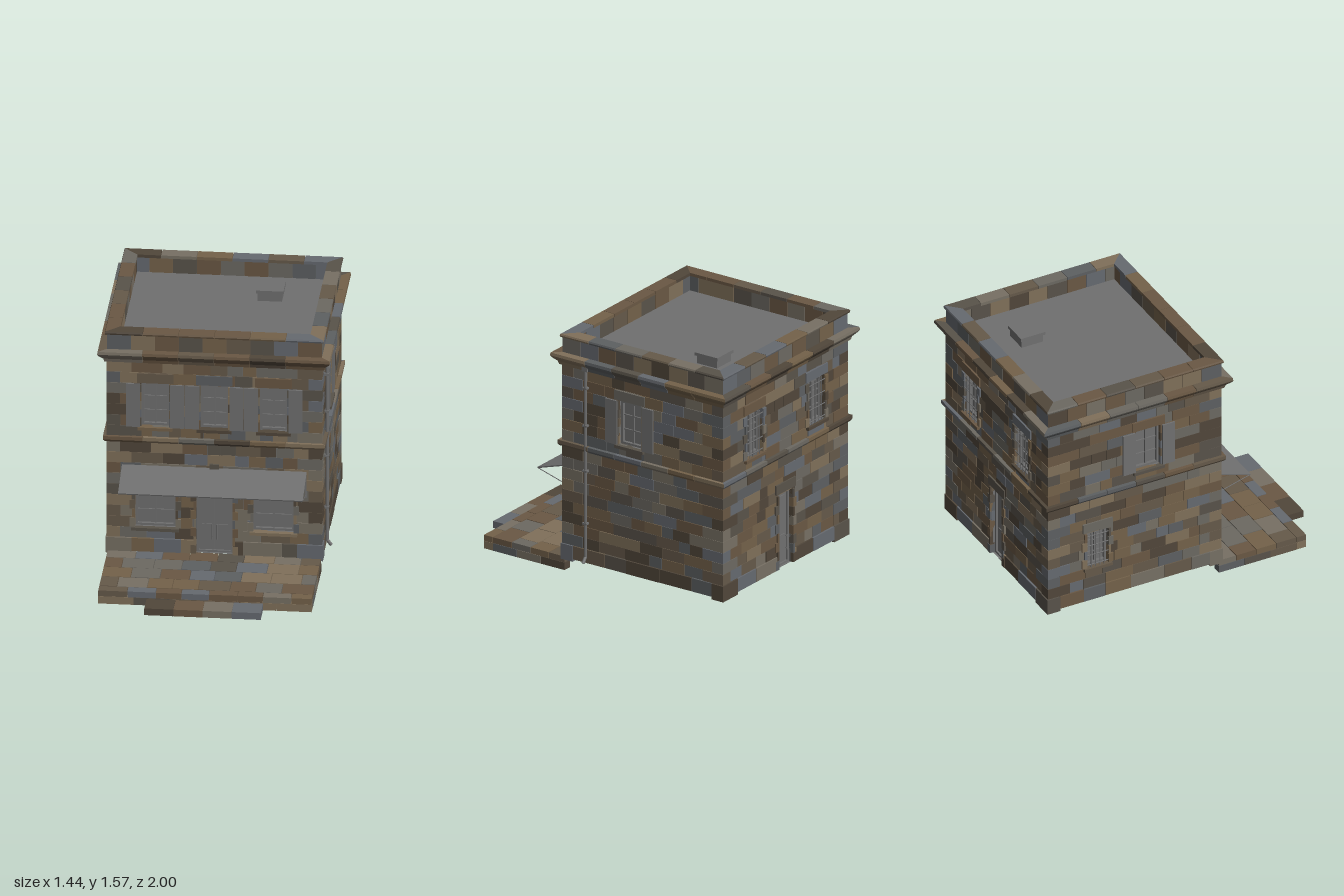
import * as THREE from 'three';
import { mergeGeometries } from 'three/addons/utils/BufferGeometryUtils.js';

const HX = 0.662, HZ = 0.602, CZ = -0.34;     // wall half sizes and centre
const BASE = 0.09, EAVES = 1.37;

const grey = new THREE.MeshStandardMaterial({ color: 0x707070, side: THREE.DoubleSide });
const stoneMats = [0x59534a, 0x665a4a, 0x74624a, 0x777064, 0x5d6062, 0x666a70, 0x51473b, 0x80705a, 0x6a5844, 0x6c6962]
  .map(color => new THREE.MeshStandardMaterial({ color }));

let seed = 7;
const rnd = () => (seed = (seed * 16807) % 2147483647) / 2147483647;

// Box given by its limits
function box(x0, x1, y0, y1, z0, z1) {
  return new THREE.BoxGeometry(x1 - x0, y1 - y0, z1 - z0)
    .translate((x0 + x1) / 2, (y0 + y1) / 2, (z0 + z1) / 2).toNonIndexed();
}

// Thin round bar between two points
function bar(a, b, r, sides = 6) {
  const A = new THREE.Vector3(...a), B = new THREE.Vector3(...b), d = B.clone().sub(A);
  const q = new THREE.Quaternion().setFromUnitVectors(new THREE.Vector3(0, 1, 0), d.clone().normalize());
  const g = new THREE.CylinderGeometry(r, r, d.length(), sides).applyQuaternion(q);
  return g.translate(...A.add(B).multiplyScalar(0.5).toArray()).toNonIndexed();
}

function addMesh(parent, name, geos, mat = grey) {
  const m = new THREE.Mesh(mergeGeometries([].concat(geos)), mat);
  m.name = name;
  parent.add(m);
  return m;
}

// Collects stones by colour, then makes one mesh per colour
function stonePile() {
  const piles = stoneMats.map(() => []);
  return {
    add: g => piles[Math.floor(rnd() * piles.length)].push(g),
    build: (parent, name) => piles.forEach((p, i) => p.length && addMesh(parent, name, p, stoneMats[i])),
  };
}

// Rectangle [x0, x1, y0, y1] minus a hole, as up to four rectangles
function cut([a, b, c, d], [e, f, g, h]) {
  if (e >= b || f <= a || g >= d || h <= c) return [[a, b, c, d]];
  const l = Math.max(a, e), r = Math.min(b, f);
  return [[a, l, c, d], [r, b, c, d], [l, r, c, g], [l, r, h, d]]
    .filter(q => q[1] - q[0] > 0.006 && q[3] - q[2] > 0.006);
}

// Stone courses: plinth, ground floor, upper floor
const courses = [{ y0: BASE, y1: 0.18, proud: 0.008, min: 0.14 }];
for (const [lo, hi, n] of [[0.18, 0.83, 9], [0.865, EAVES, 7]])
  for (let i = 0; i < n; i++)
    courses.push({ y0: lo + (hi - lo) * i / n, y1: lo + (hi - lo) * (i + 1) / n, proud: 0, min: 0.08 });
const quoinLength = (row, alongFront) => ((row % 2 === 0) === alongFront ? 0.15 : 0.08);

// Moulding along one wall: profile of [offset, y], split into mitred stones
function moulding(pile, half, profile, n) {
  const shape = new THREE.Shape(profile.map(p => new THREE.Vector2(...p)));
  for (let i = 0; i < n; i++) {
    const u0 = -half + 2 * half * i / n + (i ? 0.0015 : 0);
    const u1 = -half + 2 * half * (i + 1) / n - (i < n - 1 ? 0.0015 : 0);
    const g = new THREE.ExtrudeGeometry(shape, { depth: u1 - u0, bevelEnabled: false })
      .rotateY(-Math.PI / 2).translate(u1, 0, 0);
    const p = g.attributes.position;
    for (let k = 0; k < p.count; k++) {
      const x = p.getX(k);
      if (Math.abs(Math.abs(x) - half) < 1e-4) p.setX(k, Math.sign(x) * (half + p.getZ(k)));
    }
    g.computeVertexNormals();
    pile.add(g);
  }
}

// Window or door in its opening: frame, glazing, shutters, grille, stone trim
function fitting(wall, pile, o) {
  const g = new THREE.Group();
  g.name = o.door ? 'door' : 'window';
  wall.add(g);
  const [x0, x1] = [o.u - o.w / 2, o.u + o.w / 2], { y0, y1 } = o, f = 0.014;
  addMesh(g, 'frame', [
    box(x0, x0 + f, y0, y1, -0.055, -0.025), box(x1 - f, x1, y0, y1, -0.055, -0.025),
    box(x0 + f, x1 - f, y1 - f, y1, -0.055, -0.025), box(x0 + f, x1 - f, y0, y0 + f, -0.055, -0.025)]);
  addMesh(g, o.door ? 'doorLeaf' : 'pane', box(x0 + f, x1 - f, y0 + f, y1 - f, -0.052, -0.045));
  const H = y1 - y0;
  if (o.door) {
    const n = o.leaves, lw = (o.w - 2 * f) / n, panels = [], handles = [];
    for (let i = 0; i < n; i++) {
      const a = x0 + f + lw * i;
      panels.push(box(a + 0.002, a + lw - 0.002, y0 + f, y1 - f, -0.045, -0.036));
      for (const [lo, hi] of [[0.07, 0.4], [0.46, 0.93]])
        panels.push(box(a + 0.018, a + lw - 0.018, y0 + H * lo, y0 + H * hi, -0.036, -0.03));
      const hx = i ? a + 0.016 : a + lw - 0.016;
      handles.push(bar([hx, y0 + 0.09, -0.018], [hx, y0 + 0.19, -0.018], 0.004));
      for (const hy of [0.1, 0.18]) handles.push(bar([hx, y0 + hy, -0.036], [hx, y0 + hy, -0.018], 0.003));
    }
    addMesh(g, 'doorPanels', panels);
    addMesh(g, 'doorHandles', handles);
  } else {
    addMesh(g, 'glazingBars', [box(o.u - 0.005, o.u + 0.005, y0, y1, -0.046, -0.034),
      ...[1, 2].map(k => box(x0, x1, y0 + H * k / 3 - 0.004, y0 + H * k / 3 + 0.004, -0.046, -0.036))]);
    pile.add(box(x0 - 0.022, x1 + 0.022, y0 - 0.02, y0, -0.05, 0.022));
  }
  if (o.shutters) addMesh(g, 'shutters', [-1, 1].flatMap(s => {
    const c = o.u + s * (o.w / 2 + 0.052);
    return [box(c - 0.043, c + 0.043, y0, y1 + 0.005, 0.004, 0.015)];
  }));
  if (o.grille) {
    const bars = [];
    for (let i = 1; i < 5; i++) bars.push(bar([x0 + o.w * i / 5, y0, 0.006], [x0 + o.w * i / 5, y1, 0.006], 0.0035));
    for (const t of [0.08, 0.36, 0.64, 0.92]) bars.push(bar([x0 - 0.008, y0 + H * t, 0.006], [x1 + 0.008, y0 + H * t, 0.006], 0.0035));
    addMesh(g, 'grille', bars);
  }
  if (o.lintel !== false) pile.add(box(x0 - 0.028, x1 + 0.028, y1 + 0.012, y1 + 0.075, -0.05, 0.01));
  // Alternating jamb stones
  const n = Math.round(H / 0.06);
  for (let i = 0; i < n; i++) for (const s of [-1, 1]) {
    const e = o.u + s * o.w / 2, t = e + s * (i % 2 ? 0.016 : 0.034);
    pile.add(box(Math.min(e, t), Math.max(e, t), y0 + H * i / n + 0.001, y0 + H * (i + 1) / n - 0.001,
      -0.06, o.shutters ? 0.003 : 0.01));
  }
}

// One complete wall, facing its own +z
function buildWall(root, name, half, alongFront, place, openings) {
  const wall = new THREE.Group(), pile = stonePile();
  wall.name = name;
  place(wall);
  root.add(wall);
  const holes = openings.map(o => [o.u - o.w / 2, o.u + o.w / 2, o.y0, o.y1]);

  // Backing panel with openings
  const rect = (P, a, b, c, d) => new P([[a, c], [b, c], [b, d], [a, d]].map(p => new THREE.Vector2(...p)));
  const h = half - 0.014, shape = rect(THREE.Shape, -h, h, BASE - 0.001, 1.43);
  shape.holes = holes.map(([a, b, c, d]) => rect(THREE.Path, a, b, Math.max(c, BASE + 0.001), d));
  addMesh(wall, 'wallPanel', new THREE.ExtrudeGeometry(shape, { depth: 0.05, bevelEnabled: false }).translate(0, 0, -0.062));

  // Stones, cut around the openings
  courses.forEach((c, row) => {
    const end = half - quoinLength(row, alongFront);
    for (let u = -end; u < end - 0.001;) {
      let v = u + c.min + rnd() * 0.12;
      if (end - v < 0.06) v = end;
      let rects = [[u + 0.001, v - 0.001, c.y0 + 0.001, c.y1 - 0.001]];
      for (const hole of holes) rects = rects.flatMap(r => cut(r, hole));
      const z = c.proud + rnd() * 0.004 - 0.002;
      for (const r of rects) pile.add(box(...r, -0.03, z));
      u = v;
    }
  });
  openings.forEach(o => fitting(wall, pile, o));
  pile.build(wall, 'wallStones');

  // String course, cornice, parapet and coping
  const trim = (label, n, profile) => { const p = stonePile(); moulding(p, half, profile, n); p.build(wall, label); };
  trim('stringCourse', 6, [[-0.03, 0.83], [0.014, 0.83], [0.024, 0.845], [0.024, 0.868], [-0.03, 0.868]]);
  trim('cornice', 6, [[-0.06, 1.37], [0.016, 1.37], [0.022, 1.392], [0.05, 1.42], [0.057, 1.432], [0.054, 1.45], [-0.06, 1.45]]);
  trim('parapet', 9, [[-0.072, 1.44], [0.002, 1.44], [0.002, 1.551], [-0.072, 1.551]]);
  trim('coping', 6, [[-0.076, 1.55], [0.011, 1.55], [0.014, 1.56], [0.01, 1.57], [-0.076, 1.57]]);
  return wall;
}

export function createModel() {
  seed = 7;
  const root = new THREE.Group();
  root.name = 'stoneTownhouse';
  const upper = (u, extra) => ({ u, w: 0.17, y0: 0.935, y1: 1.22, ...extra });

  const front = buildWall(root, 'frontWall', HX, true, w => w.position.set(0, 0, CZ + HZ), [
    ...[-0.365, 0, 0.365].map(u => upper(u, { shutters: true })),
    ...[-0.365, 0.365].map(u => ({ u, w: 0.25, y0: 0.255, y1: 0.56, lintel: false })),
    { u: 0, w: 0.225, y0: BASE, y1: 0.56, door: true, leaves: 2, lintel: false }]);
  buildWall(root, 'backWall', HX, true, w => { w.position.set(0, 0, CZ - HZ); w.rotation.y = Math.PI; }, [
    ...[-0.33, 0.33].map(u => upper(u, { grille: true })),
    { u: 0, w: 0.15, y0: BASE, y1: 0.58, door: true, leaves: 1 }]);
  const side = buildWall(root, 'leftWall', HZ, false, w => { w.position.set(HX, 0, CZ); w.rotation.y = Math.PI / 2; },
    [upper(-0.095, { shutters: true })]);
  buildWall(root, 'rightWall', HZ, false, w => { w.position.set(-HX, 0, CZ); w.rotation.y = -Math.PI / 2; },
    [upper(0.095, { shutters: true }), { u: -0.26, w: 0.15, y0: 0.33, y1: 0.58, grille: true }]);

  // Corner stones, alternating long and short
  const quoins = stonePile();
  courses.forEach((c, row) => {
    for (const sx of [-1, 1]) for (const sz of [-1, 1]) {
      const p = 0.003 + c.proud * 0.8, lx = quoinLength(row, true), lz = quoinLength(row, false);
      const xs = [sx * (HX + p), sx * (HX - lx)].sort((a, b) => a - b);
      const zs = [CZ + sz * (HZ + p), CZ + sz * (HZ - lz)].sort((a, b) => a - b);
      quoins.add(box(...xs, row ? c.y0 + 0.001 : 0.075, c.y1 - 0.001, ...zs));
    }
  });
  quoins.build(root, 'cornerStones');

  // Flat roof and hatch
  addMesh(root, 'roof', box(-HX + 0.06, HX - 0.06, 1.42, 1.452, CZ - HZ + 0.06, CZ + HZ - 0.06));
  addMesh(root, 'roofHatch', [box(0.19, 0.34, 1.45, 1.505, -0.67, -0.52), box(0.18, 0.35, 1.505, 1.525, -0.68, -0.51)]);

  // Awning with fascia board and struts
  const awning = new THREE.Group();
  awning.name = 'awning';
  front.add(awning);
  const tilt = Math.atan2(0.08, 0.255);
  addMesh(awning, 'canopy', box(-0.57, 0.57, -0.004, 0.004, 0, 0.267).rotateX(tilt).translate(0, 0.668, 0));
  addMesh(awning, 'fasciaBoard', box(-0.57, 0.57, 0.545, 0.665, 0, 0.012));
  const struts = [];
  for (let i = -3; i <= 3; i++) {
    const x = i * 0.1885;
    struts.push(bar([x, 0.515, 0], [x, 0.585, 0.253], 0.003), box(x - 0.005, x + 0.005, 0.5, 0.545, 0, 0.012));
  }
  addMesh(awning, 'struts', struts);
  const keystone = stonePile();
  keystone.add(box(-0.03, 0.03, 0.61, 0.7, -0.02, 0.014));
  keystone.build(front, 'keystone');

  // Drainpipe
  const pu = -0.42, pz = 0.016;
  addMesh(side, 'drainpipe', [bar([pu, 0.13, pz], [pu, 1.4, pz], 0.011, 10), bar([pu, 0.135, pz], [pu, 0.1, 0.042], 0.011, 10),
    box(pu - 0.02, pu + 0.02, 1.37, 1.41, 0, 0.03),
    ...[0.35, 0.7, 1.0, 1.25].map(y => box(pu - 0.016, pu + 0.016, y, y + 0.012, 0, 0.029))]);

  // Paved terrace: tiles, two kerb courses, front step
  const paving = stonePile(), row = [0.25, 0.37, 0.51, 0.65, 0.79, 0.86], X = 0.66;
  for (let r = 0; r < 5; r++) {
    const cuts = [-X];
    for (let x = -X + (r % 2 ? 0.11 : 0.18); x < X - 0.06; x += 0.15 + rnd() * 0.05) cuts.push(x);
    cuts.push(X);
    for (let i = 0; i < cuts.length - 1; i++)
      paving.add(box(cuts[i] + 0.002, cuts[i + 1] - 0.002, 0.05, 0.088 + rnd() * 0.002, row[r] + 0.002, row[r + 1] - 0.002));
  }
  paving.build(root, 'pavingStones');
  const kerb = stonePile();
  for (let i = 0; i < 6; i++) kerb.add(box(-X + i * 0.22 + 0.001, -X + (i + 1) * 0.22 - 0.001, 0, 0.049, 0.79, 0.858));
  for (const s of [-1, 1]) for (let i = 0; i < 3; i++)
    kerb.add(box(s * 0.63 - 0.03, s * 0.63 + 0.03, 0, 0.049, 0.25 + i * 0.18, 0.43 + i * 0.18 - 0.002));
  kerb.build(root, 'kerb');
  const step = stonePile();
  for (let i = 0; i < 4; i++) step.add(box(-0.36 + i * 0.18, -0.18 + i * 0.18 - 0.001, 0, 0.045, 0.86, 1));
  step.build(root, 'frontStep');
  return root;
}
